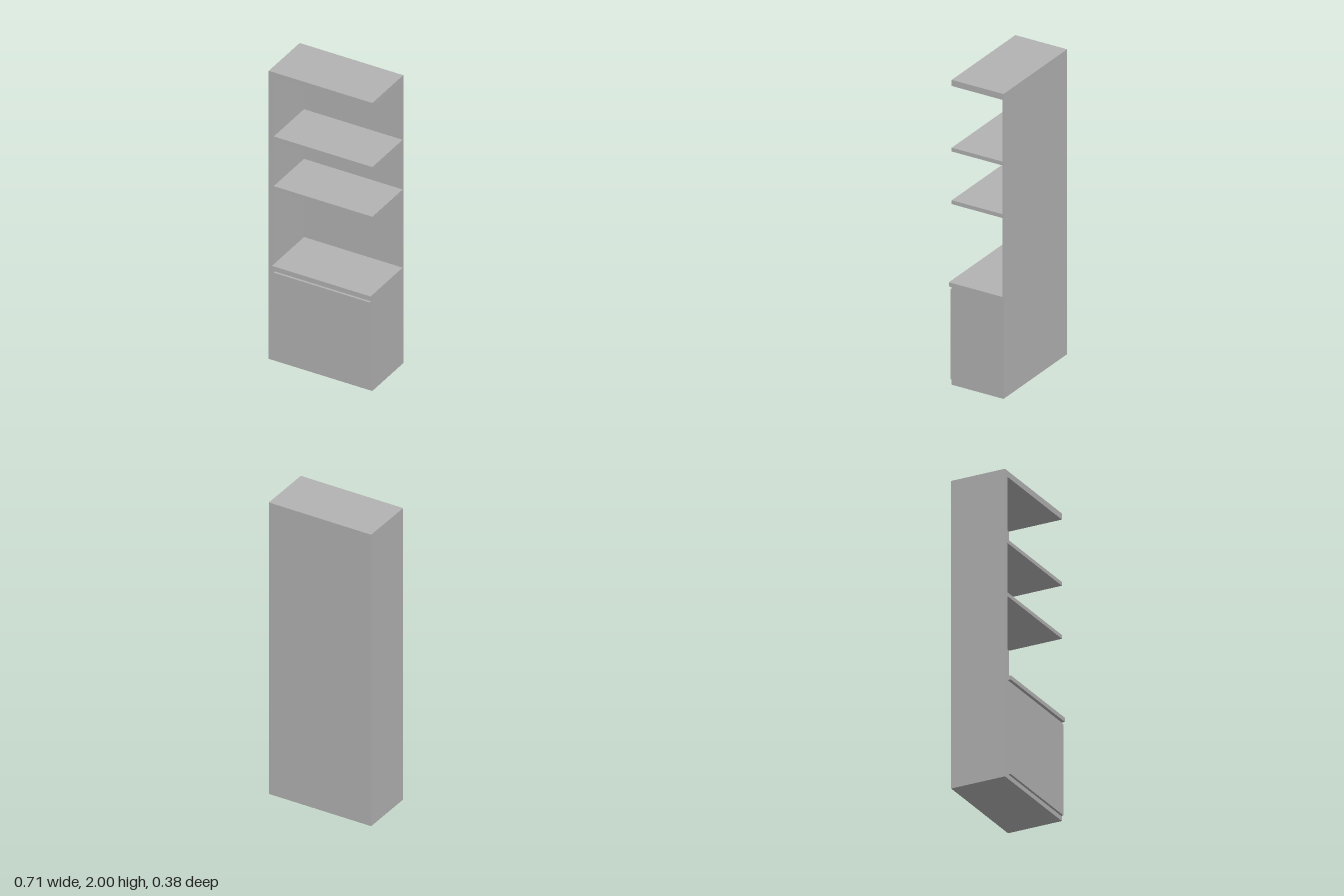
import * as THREE from 'three';

export function createModel() {
  const group = new THREE.Group();
  const grey = new THREE.MeshStandardMaterial({ color: 0xb2b2b2 });
  grey.name = 'grey';

  // Box given by its lower and upper limits on each axis
  function panel(name, [x0, x1], [y0, y1], [z0, z1]) {
    const mesh = new THREE.Mesh(new THREE.BoxGeometry(x1 - x0, y1 - y0, z1 - z0), grey);
    mesh.position.set((x0 + x1) / 2, (y0 + y1) / 2, (z0 + z1) / 2);
    mesh.name = name;
    group.add(mesh);
  }

  const left = -0.354, right = 0.354, inner = -0.32;
  const back = -0.19, backInner = -0.183, front = 0.17;

  // Tall side and back of the case
  panel('sidePanel', [left, inner], [0, 2], [back, front]);
  panel('backPanel', [inner, right], [0, 2], [back, backInner]);

  // Top board and open shelves
  const boards = [['topBoard', 1.96, 2], ['upperShelf', 1.53, 1.555], ['lowerShelf', 1.185, 1.21]];
  for (const [name, y0, y1] of boards) panel(name, [inner, right], [y0, y1], [backInner, front]);

  // Closed cupboard with an overhanging counter and a door on its front
  panel('cupboard', [inner, right], [0, 0.64], [backInner, front]);
  panel('counter', [inner, right], [0.64, 0.667], [backInner, 0.19]);
  panel('door', [-0.312, 0.346], [0.03, 0.62], [front, 0.185]);

  return group;
}
